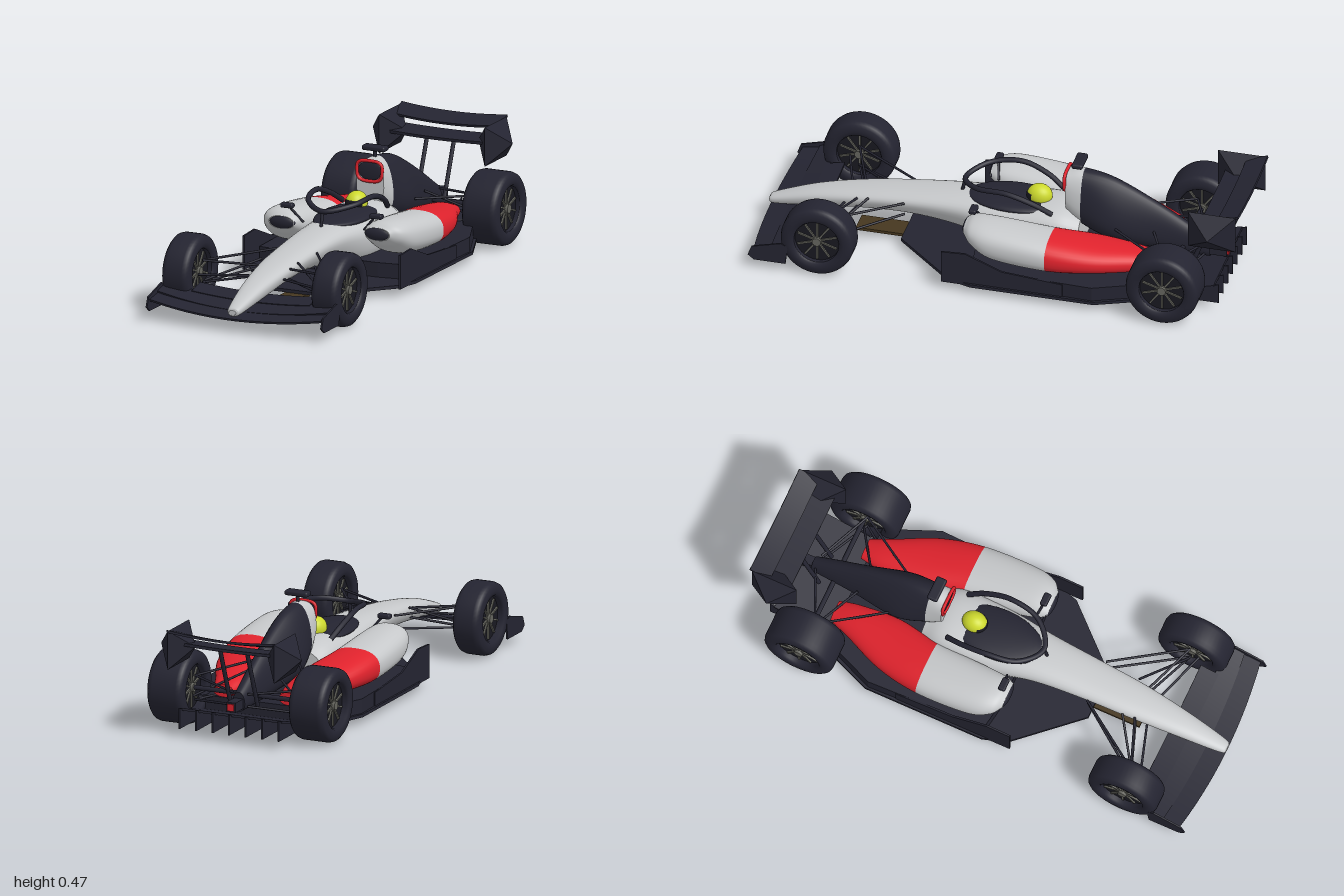
import * as THREE from 'three';
import { RoundedBoxGeometry } from 'three/addons/geometries/RoundedBoxGeometry.js';

const mat = (name, color, side = THREE.FrontSide) => {
  const m = new THREE.MeshStandardMaterial({ color, side });
  m.name = name;
  return m;
};

// Closed loft along z. Section: [z, centreX, centreY, halfWidth, halfHeight, squareness, taper]
// taper > 0 narrows the bottom, taper < 0 narrows the top.
function loft(secs, u0 = 0, u1 = secs.length - 1, N = 36) {
  const interp = new THREE.CubicInterpolant(secs.map((_, i) => i), secs.flat(), 7);
  const M = Math.round((u1 - u0) * 8), pos = [], idx = [];
  const ring = (u) => {
    const [z, cx, cy, w, h, n, k] = interp.evaluate(u);
    for (let j = 0; j < N; j++) {
      const a = (j / N) * Math.PI * 2, c = Math.cos(a), s = Math.sin(a);
      const v = Math.sign(s) * Math.abs(s) ** (2 / n);
      const f = k > 0 ? 1 - k * (1 - v) / 2 : 1 + k * (1 + v) / 2;
      pos.push(cx + w * f * Math.sign(c) * Math.abs(c) ** (2 / n), cy + h * v, z);
    }
    return [cx, cy, z];
  };
  for (let i = 0; i <= M; i++) ring(u0 + (u1 - u0) * i / M);
  for (let i = 0; i < M; i++) for (let j = 0; j < N; j++) {
    const a = i * N + j, b = i * N + (j + 1) % N;
    idx.push(a, a + N, b, b, a + N, b + N);
  }
  for (const [u, front] of [[u0, true], [u1, false]]) {
    const s = pos.length / 3, c = ring(u);
    pos.push(...c);
    for (let j = 0; j < N; j++) {
      const p = s + j, q = s + (j + 1) % N;
      idx.push(s + N, front ? p : q, front ? q : p);
    }
  }
  const g = new THREE.BufferGeometry();
  g.setAttribute('position', new THREE.Float32BufferAttribute(pos, 3));
  g.setIndex(idx);
  g.computeVertexNormals();
  return g;
}

const shapeOf = (pts) => new THREE.Shape(pts.map(([a, b]) => new THREE.Vector2(a, b)));
// Upright plate from [z, y] points
const sidePlate = (pts, x, t) =>
  new THREE.ExtrudeGeometry(shapeOf(pts), { depth: t, bevelEnabled: false }).rotateY(-Math.PI / 2).translate(x + t / 2, 0, 0);
// Level slab from the right half of its [x, z] outline
const slab = (half, top, t) =>
  new THREE.ExtrudeGeometry(shapeOf([...half, ...half.map(([x, z]) => [-x, z]).reverse()]), { depth: t, bevelEnabled: false })
    .rotateX(Math.PI / 2).translate(0, top, 0);
// Wing element: tips rise and sweep with the square of the span
function wing(w, t, chord, y, z, rise, sweep, tilt) {
  const g = new THREE.BoxGeometry(2 * w, t, chord, 24, 1, 1).rotateX(tilt), p = g.attributes.position;
  for (let i = 0; i < p.count; i++) {
    const q = (p.getX(i) / w) ** 2;
    p.setY(i, p.getY(i) + y + rise * q);
    p.setZ(i, p.getZ(i) + z + sweep * q);
  }
  g.computeVertexNormals();
  return g;
}
function rodGeo(a, b, r) {
  const A = new THREE.Vector3(...a), d = new THREE.Vector3(...b).sub(A);
  const q = new THREE.Quaternion().setFromUnitVectors(new THREE.Vector3(0, 1, 0), d.clone().normalize());
  return new THREE.CylinderGeometry(r, r, d.length(), 8).applyQuaternion(q).translate(...A.addScaledVector(d, 0.5).toArray());
}
const ellipsoid = (rx, ry, rz, x, y, z) => new THREE.SphereGeometry(1, 28, 18).scale(rx, ry, rz).translate(x, y, z);

export function createModel() {
  const car = new THREE.Group();
  car.name = 'racingCar';
  const carbon = mat('carbon', 0x242431), white = mat('bodyWhite', 0xc6c8ca), red = mat('red', 0xdf222c),
    yellow = mat('helmetYellow', 0xcdd92e), plankBrown = mat('plankBrown', 0x46371f),
    metal = mat('metal', 0x66665f), black = mat('black', 0x191921);
  const add = (name, geo, m, parent = car) => {
    const mesh = new THREE.Mesh(geo, m);
    mesh.name = name;
    parent.add(mesh);
    return mesh;
  };
  const rod = (name, a, b, r, m = carbon) => add(name, rodGeo(a, b, r), m);

  // Nose and tub
  add('noseAndTub', loft([
    [0.995, 0, 0.085, 0.018, 0.01, 2, 0.2], [0.97, 0, 0.09, 0.033, 0.022, 2.2, 0.2],
    [0.8, 0, 0.13, 0.062, 0.04, 2.3, 0.3], [0.6, 0, 0.163, 0.09, 0.047, 2.3, 0.4],
    [0.4, 0, 0.178, 0.108, 0.058, 2.3, 0.5], [0.2, 0, 0.175, 0.127, 0.08, 2.3, 0.5],
    [0.0, 0, 0.155, 0.15, 0.105, 2.4, 0.25], [-0.2, 0, 0.16, 0.15, 0.11, 2.4, 0.2],
    [-0.3, 0, 0.15, 0.12, 0.09, 2.3, 0.1]]), white);

  // Cockpit and driver
  add('cockpitOpening', ellipsoid(0.108, 0.024, 0.195, 0, 0.25, -0.015), carbon);
  add('helmet', ellipsoid(0.043, 0.047, 0.052, 0, 0.28, -0.115), yellow);
  add('visor', new THREE.SphereGeometry(1, 20, 8, 0.5, Math.PI - 1, 1.2, 0.55)
    .scale(0.045, 0.049, 0.054).translate(0, 0.28, -0.115), black);

  // Halo
  const halfHalo = [[0.1, 0.26, -0.19], [0.118, 0.305, -0.12], [0.126, 0.343, -0.01], [0.098, 0.332, 0.12]];
  const haloPts = [...halfHalo, [0, 0.313, 0.19], ...halfHalo.map(([x, y, z]) => [-x, y, z]).reverse()];
  add('halo', new THREE.TubeGeometry(new THREE.CatmullRomCurve3(haloPts.map((p) => new THREE.Vector3(...p))), 64, 0.011, 10), carbon);
  rod('haloPillar', [0, 0.315, 0.19], [0, 0.24, 0.205], 0.007);

  // Airbox and engine cover
  const cover = [
    [-0.235, 0, 0.335, 0.064, 0.088, 2.6, -0.1], [-0.3, 0, 0.31, 0.085, 0.12, 2.4, -0.35],
    [-0.43, 0, 0.275, 0.12, 0.13, 2.2, -0.6], [-0.62, 0, 0.215, 0.07, 0.095, 2.2, -0.5],
    [-0.82, 0, 0.15, 0.03, 0.04, 2.2, -0.2]];
  add('airbox', loft(cover, 0, 1), white);
  add('engineCover', loft(cover, 1, 4), carbon);
  const ringPts = Array.from({ length: 24 }, (_, i) => {
    const a = i / 24 * Math.PI * 2, c = Math.cos(a), s = Math.sin(a);
    return new THREE.Vector3(Math.sign(c) * Math.abs(c) ** 0.6 * (0.056 + 0.004 * s), 0.381 + 0.042 * Math.sign(s) * Math.abs(s) ** 0.6, -0.23);
  });
  add('airboxRing', new THREE.TubeGeometry(new THREE.CatmullRomCurve3(ringPts, true), 64, 0.007, 8, true), red);
  add('airboxInlet', ellipsoid(0.053, 0.039, 0.006, 0, 0.381, -0.233), carbon);
  rod('cameraStalk', [0, 0.42, -0.28], [0, 0.46, -0.28], 0.008);
  add('cameraPod', new RoundedBoxGeometry(0.102, 0.021, 0.045, 3, 0.008).translate(0, 0.465, -0.28), carbon);

  // Floor, plank and diffuser
  add('floor', slab([[0.1, 0.43], [0.33, 0.18], [0.36, 0.08], [0.36, -0.43], [0.27, -0.65], [0.225, -0.67]], 0.045, 0.013), carbon);
  add('underbody', slab([[0.2, 0.1], [0.335, 0.08], [0.352, -0.42], [0.26, -0.64]], 0.105, 0.062), carbon);
  add('plank', new THREE.BoxGeometry(0.095, 0.012, 1.25).translate(0, 0.026, 0.005), plankBrown);
  for (const z of [0.53, 0.1, -0.31]) for (const x of [-0.022, 0.022])
    add('skidPlate', new THREE.BoxGeometry(0.03, 0.004, 0.05).translate(x, 0.0195, z), metal);
  add('floorAntenna', new THREE.ConeGeometry(0.018, 0.02, 4).rotateX(Math.PI).translate(0, 0.012, -0.02), carbon);
  add('diffuserRamp', new THREE.BoxGeometry(0.45, 0.01, 0.25).rotateX(0.27).translate(0, 0.078, -0.77), carbon);
  for (let i = -3; i <= 3; i++)
    add('diffuserFin', sidePlate([[-0.65, 0.035], [-0.65, 0.05], [-0.91, 0.12], [-0.91, 0.035]], i * 0.073, 0.006), carbon);
  add('rearCrashStructure', new THREE.BoxGeometry(0.04, 0.04, 0.1).translate(0, 0.145, -0.84), carbon);
  add('rainLight', new THREE.BoxGeometry(0.028, 0.028, 0.008).translate(0, 0.145, -0.893), red);

  // Front wing
  add('frontWingMain', wing(0.385, 0.008, 0.1, 0.062, 0.942, 0.03, -0.03, 0.15), carbon);
  add('frontWingMiddleFlap', wing(0.385, 0.007, 0.085, 0.079, 0.87, 0.035, -0.02, 0.25), carbon);
  add('frontWingUpperFlap', wing(0.262, 0.007, 0.08, 0.1, 0.795, 0.014, 0, 0.22), carbon);

  // Rear wing
  add('rearWingMain', wing(0.235, 0.012, 0.1, 0.38, -0.875, 0.006, 0, 0.12), carbon);
  add('rearWingFlap', wing(0.235, 0.01, 0.09, 0.43, -0.95, 0.014, 0, 0.3), carbon);

  // Sidepod sections for one side
  const pod = (s) => [
    [0.13, 0.213 * s, 0.23, 0.055, 0.026, 2.2, 0], [0.09, 0.226 * s, 0.222, 0.085, 0.052, 2.2, 0],
    [0.0, 0.232 * s, 0.2, 0.103, 0.074, 2.3, 0], [-0.22, 0.225 * s, 0.178, 0.11, 0.071, 2.4, 0],
    [-0.4, 0.19 * s, 0.163, 0.11, 0.056, 2.3, 0], [-0.57, 0.155 * s, 0.148, 0.07, 0.042, 2.2, 0],
    [-0.66, 0.145 * s, 0.138, 0.045, 0.026, 2.1, 0]];

  // Wheel: tyre and rim share one turned profile, axle along x
  function wheel(name, x, y, z, h) {
    const g = new THREE.Group();
    g.name = name;
    const half = [[0.092, h - 0.012], [0.098, h - 0.003], [0.115, h], [0.134, h - 0.003], [0.145, h - 0.012], [0.15, h - 0.028]];
    const prof = [...half.map(([r, v]) => [r, -v]), ...half.slice().reverse(), [0.092, -h + 0.012]];
    add('tyre', new THREE.LatheGeometry(prof.map(([r, v]) => new THREE.Vector2(r, v)), 48), carbon, g);
    add('rimDisc', new THREE.CylinderGeometry(0.093, 0.093, 2 * h - 0.06, 40), black, g);
    for (const e of [-1, 1]) {
      add('hub', new THREE.CylinderGeometry(0.018, 0.018, 0.02, 16).translate(0, e * (h - 0.022), 0), metal, g);
      for (let i = 0; i < 10; i++)
        add('spoke', new THREE.BoxGeometry(0.07, 0.008, 0.007).translate(0.05, e * (h - 0.027), 0).rotateY(i * Math.PI / 5), metal, g);
    }
    g.rotation.z = Math.PI / 2;
    g.position.set(x, y, z);
    car.add(g);
  }

  for (const s of [1, -1]) {
    const side = s > 0 ? 'left' : 'right';
    add(side + 'SidepodFront', loft(pod(s), 0, 3), white);
    add(side + 'SidepodRear', loft(pod(s), 3, 6), red);
    add(side + 'SidepodInlet', ellipsoid(0.058, 0.028, 0.02, 0.212 * s, 0.23, 0.122), carbon);
    add(side + 'FloorFence', sidePlate([[0.2, 0.035], [0.2, 0.175], [0.1, 0.18], [-0.05, 0.12], [-0.3, 0.1], [-0.3, 0.035]], 0.347 * s, 0.008), carbon);
    wheel(side + 'FrontWheel', 0.332 * s, 0.155, 0.705, 0.061);
    wheel(side + 'RearWheel', 0.313 * s, 0.155, -0.715, 0.08);

    // Wing ends
    add(side + 'FrontEndplate', sidePlate([[0.985, 0.06], [0.97, 0.1], [0.85, 0.132], [0.82, 0.12], [0.83, 0.04], [0.96, 0.04]], 0.388 * s, 0.007), carbon);
    const end = new THREE.SphereGeometry(1, 4, 2).rotateY(Math.PI / 4).rotateZ(Math.PI / 2)
      .scale(0.076, 0.08 * Math.SQRT2, 0.098 * Math.SQRT2).translate(0.235 * s, 0.375, -0.885).toNonIndexed();
    end.computeVertexNormals();
    add(side + 'RearEndplate', end, carbon);
    rod(side + 'RearWingPillar', [0.06 * s, 0.13, -0.77], [0.06 * s, 0.38, -0.87], 0.009);

    // Mirrors
    add(side + 'Mirror', new RoundedBoxGeometry(0.055, 0.02, 0.03, 3, 0.007).translate(0.198 * s, 0.296, 0.105), carbon);
    rod(side + 'MirrorStalk', [0.19 * s, 0.292, 0.105], [0.135 * s, 0.23, 0.09], 0.005);

    // Suspension: from wheel to body
    const arms = [
      [0.28, 0.2, 0.7, 0.07, 0.185, 0.62], [0.28, 0.2, 0.7, 0.09, 0.205, 0.42],
      [0.28, 0.11, 0.7, 0.06, 0.145, 0.62], [0.28, 0.11, 0.7, 0.08, 0.15, 0.42],
      [0.27, 0.12, 0.7, 0.08, 0.2, 0.57], [0.28, 0.15, 0.74, 0.06, 0.155, 0.67],
      [0.25, 0.2, -0.7, 0.09, 0.225, -0.45], [0.25, 0.2, -0.7, 0.03, 0.18, -0.8],
      [0.25, 0.1, -0.7, 0.1, 0.12, -0.5], [0.25, 0.1, -0.7, 0.03, 0.13, -0.8],
      [0.25, 0.12, -0.72, 0.06, 0.22, -0.6]];
    for (const [x, y, z, x2, y2, z2] of arms) rod(side + 'SuspensionArm', [x * s, y, z], [x2 * s, y2, z2], 0.005);
    rod(side + 'DriveShaft', [0.26 * s, 0.155, -0.715], [0, 0.155, -0.715], 0.01);
  }
  return car;
}
